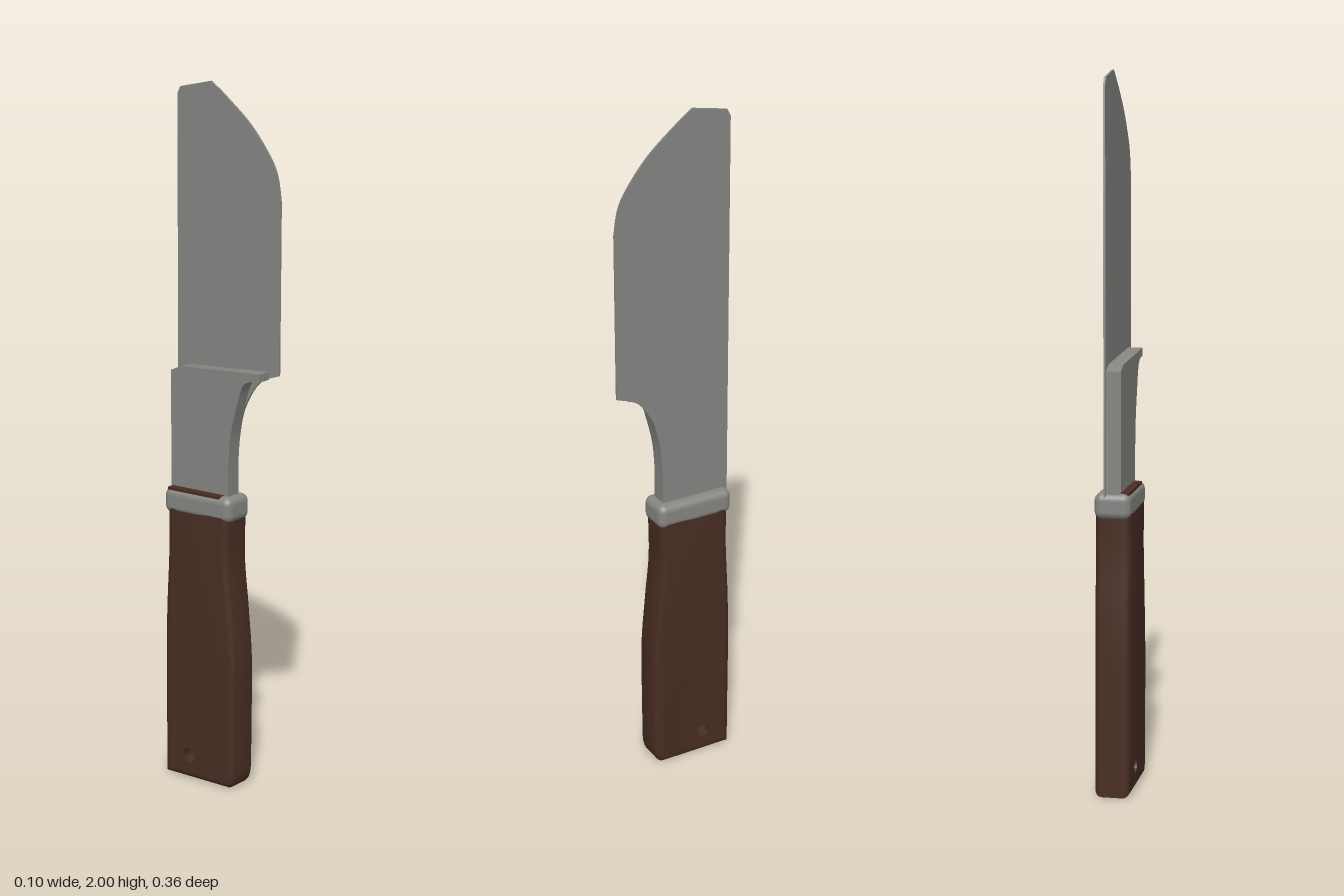
import * as THREE from 'three';
import { toCreasedNormals } from 'three/addons/utils/BufferGeometryUtils.js';
import { RoundedBoxGeometry } from 'three/addons/geometries/RoundedBoxGeometry.js';

const steel = new THREE.MeshStandardMaterial({ color: 0x858582 });
steel.name = 'steel';
const wood = new THREE.MeshStandardMaterial({ color: 0x482d22 });
wood.name = 'dark wood';

// Extrudes a side profile drawn in (z, y) so that it spans x0..x1.
function sideExtrude(shape, x0, x1, bevel = 0) {
  const geometry = new THREE.ExtrudeGeometry(shape, {
    depth: x1 - x0 - 2 * bevel,
    bevelEnabled: bevel > 0,
    bevelThickness: bevel,
    bevelSize: bevel,
    bevelOffset: -bevel,
    bevelSegments: 4,
    curveSegments: 16,
  });
  geometry.rotateY(-Math.PI / 2);
  geometry.translate(x1 - bevel, 0, 0);
  return geometry;
}

function addPart(group, name, geometry, material) {
  const mesh = new THREE.Mesh(geometry, material);
  mesh.name = name;
  group.add(mesh);
  return mesh;
}

const points = (list) => list.map(([z, y]) => new THREE.Vector2(z, y));

// Concave throat under the heel of the cutting edge, running down to the collar.
function throat(shape, heelZ, frontZ) {
  shape.splineThru(points([
    [heelZ * 0.62, 1.185], [0.062, 1.11], [0.043, 1.03], [frontZ, 0.95],
  ]));
  shape.lineTo(frontZ, 0.83);
}

function bladeShape() {
  const s = new THREE.Shape();
  s.moveTo(-0.172, 0.83);
  s.lineTo(0.036, 0.83);
  const edge = new THREE.Shape();
  edge.moveTo(0.178, 1.215);
  throat(edge, 0.178, 0.036);
  edge.getPoints(10).reverse().slice(1).forEach((p) => s.lineTo(p.x, p.y));
  s.lineTo(0.18, 1.69);
  s.splineThru(points([[0.168, 1.76], [0.14, 1.815], [0.075, 1.895], [-0.02, 1.975]]));
  s.lineTo(-0.055, 2);
  s.lineTo(-0.16, 1.98);
  s.lineTo(-0.17, 1.96);
  return s;
}

function bolsterShape() {
  const s = new THREE.Shape();
  s.moveTo(-0.165, 0.83);
  s.lineTo(-0.165, 1.195);
  s.lineTo(-0.13, 1.21);
  s.lineTo(0.143, 1.222);
  s.lineTo(0.143, 1.2);
  throat(s, 0.143, 0.036);
  return s;
}

// Grip profile with a hanging hole near the butt.
const HOLE = { z: -0.085, y: 0.07, r: 0.021 };
function handleGeometry() {
  const s = new THREE.Shape();
  s.moveTo(-0.176, 0);
  s.lineTo(0.05, 0);
  s.quadraticCurveTo(0.07, 0.005, 0.073, 0.05);
  s.splineThru(points([[0.075, 0.2], [0.075, 0.38], [0.063, 0.53], [0.05, 0.67], [0.052, 0.81]]));
  s.lineTo(-0.164, 0.81);
  s.splineThru(points([[-0.164, 0.68], [-0.172, 0.52], [-0.176, 0.38], [-0.176, 0.15]]));
  s.closePath();
  const hole = new THREE.Path();
  hole.absarc(HOLE.z, HOLE.y, HOLE.r, 0, Math.PI * 2, true);
  s.holes.push(hole);
  const geometry = sideExtrude(s, -0.051, 0.049, 0.02);

  // Keep the bore straight while the outer edges stay rounded.
  const pos = geometry.attributes.position;
  for (let i = 0; i < pos.count; i++) {
    const dz = pos.getZ(i) - HOLE.z;
    const dy = pos.getY(i) - HOLE.y;
    const d = Math.hypot(dz, dy);
    if (d < 0.046) {
      pos.setZ(i, HOLE.z + (dz / d) * HOLE.r);
      pos.setY(i, HOLE.y + (dy / d) * HOLE.r);
    }
  }
  return toCreasedNormals(geometry, 0.7);
}

export function createModel() {
  const knife = new THREE.Group();
  knife.name = 'knife';

  addPart(knife, 'handle', handleGeometry(), wood);

  // Metal collar joining grip and blade
  const collar = addPart(knife, 'collar', new RoundedBoxGeometry(0.102, 0.074, 0.234, 4, 0.022), steel);
  collar.position.set(-0.001, 0.823, -0.058);

  // Wood showing through the collar on the thin side of the bolster
  const inlay = addPart(knife, 'collarInlay', new THREE.BoxGeometry(0.024, 0.008, 0.18), wood);
  inlay.position.set(-0.036, 0.858, -0.07);

  addPart(knife, 'blade', toCreasedNormals(sideExtrude(bladeShape(), 0.016, 0.022), 0.6), steel);
  addPart(knife, 'bolster', toCreasedNormals(sideExtrude(bolsterShape(), -0.025, 0.019), 0.6), steel);

  return knife;
}
